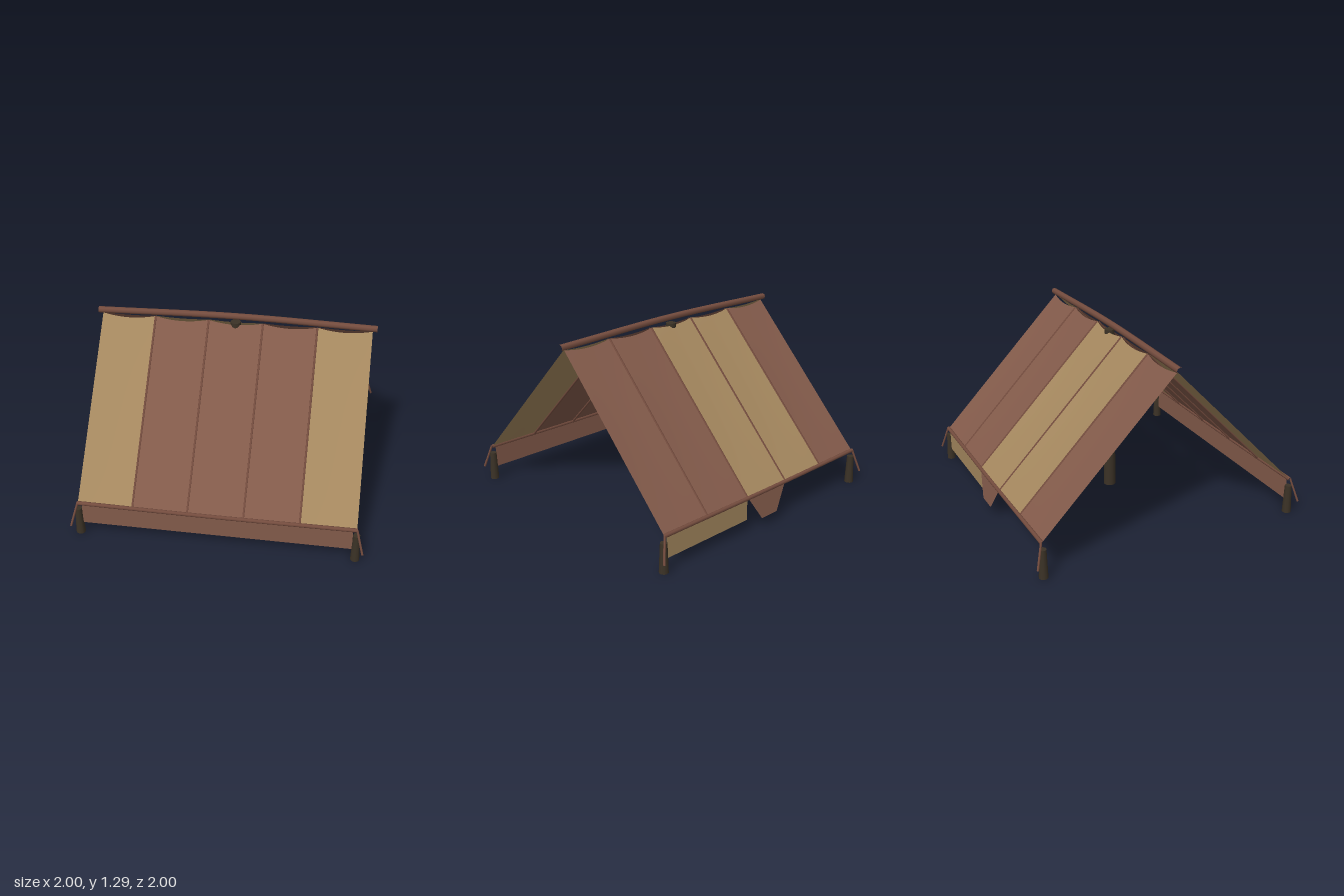
import * as THREE from 'three';

const V = (x, y, z) => new THREE.Vector3(x, y, z);

export function createModel() {
  const tent = new THREE.Group();
  tent.name = 'tent';

  const mat = (name, color, side = THREE.FrontSide) => {
    const m = new THREE.MeshStandardMaterial({ color, side });
    m.name = name;
    return m;
  };
  const brownCloth = mat('brown cloth', 0x825a4a, THREE.DoubleSide);
  const tanCloth = mat('tan cloth', 0xa4875e, THREE.DoubleSide);
  const darkWood = mat('dark wood', 0x3b3226);
  const redWood = mat('reddish wood', 0x744c3e);

  const add = (name, geometry, material, x = 0, y = 0, z = 0) => {
    const mesh = new THREE.Mesh(geometry, material);
    mesh.name = name;
    mesh.position.set(x, y, z);
    tent.add(mesh);
    return mesh;
  };

  // Open-ended pole through a few points
  const pole = (name, points, radius, segments, sides = 8) =>
    add(name, new THREE.TubeGeometry(new THREE.CatmullRomCurve3(points), segments, radius, sides), redWood);

  const ridgeY = 1.222, ridgeZ = 0.003, eaveY = 0.255, eaveZ = 0.94;
  const edges = [-0.945, -0.567, -0.19, 0.19, 0.567, 0.945];

  // Roof cloth: straight at the eave, scalloped where it is tied at the ridge
  const clothPanel = (x0, x1, side) => {
    const g = new THREE.PlaneGeometry(1, 1, 10, 10);
    const p = g.attributes.position;
    for (let i = 0; i < p.count; i++) {
      const u = p.getX(i) + 0.5, v = p.getY(i) + 0.5;
      const scallop = 0.017 * 4 * u * (1 - u) * v ** 4;
      const t = v - scallop;
      const sag = -0.004 * Math.sin(Math.PI * v) * Math.sin(Math.PI * u);
      const x = THREE.MathUtils.lerp(x0, x1, u);
      const y = THREE.MathUtils.lerp(eaveY, ridgeY, t) + sag;
      const z = THREE.MathUtils.lerp(eaveZ, ridgeZ, t) + sag;
      p.setXYZ(i, side > 0 ? x : x0 + x1 - x, y, side * z);
    }
    g.computeVertexNormals();
    return g;
  };

  const panelColours = {
    front: [tanCloth, brownCloth, brownCloth, brownCloth, tanCloth],
    back: [brownCloth, tanCloth, tanCloth, brownCloth, brownCloth],
  };

  for (const [label, side] of [['front', 1], ['back', -1]]) {
    panelColours[label].forEach((colour, i) =>
      add(`${label}RoofPanel${i + 1}`, clothPanel(edges[i], edges[i + 1], side), colour));

    // Battens along the seams
    edges.slice(1, -1).forEach((x, i) =>
      pole(`${label}Batten${i + 1}`, [
        V(x, ridgeY - 0.004, side * ridgeZ),
        V(x, eaveY - 0.003, side * (eaveZ - 0.003)),
      ], 0.009, 1, 6));

    // Eave pole, drooping slightly
    pole(`${label}EavePole`, [
      V(-0.95, 0.254, side * 0.942), V(0, 0.249, side * 0.942), V(0.95, 0.254, side * 0.942),
    ], 0.014, 12);

    // Corner posts and guy lines
    for (const s of [-1, 1]) {
      const corner = label + (s > 0 ? 'Left' : 'Right');
      add(`${corner}Post`, new THREE.CylinderGeometry(0.024, 0.032, 0.207, 10), darkWood,
        s * 0.945, 0.1035, side * 0.936);
      pole(`${corner}GuyLine`, [
        V(s * 0.945, 0.262, side * 0.945), V(s * 0.992, 0.09, side * 0.992),
      ], 0.008, 1, 6);
    }
  }

  // Arched ridge pole and centre pole
  pole('ridgePole', [V(-0.975, 1.243, 0), V(0, 1.264, 0), V(0.975, 1.243, 0)], 0.023, 16);
  add('centrePole', new THREE.CylinderGeometry(0.036, 0.044, 1.222, 12), darkWood, 0, 0.611, 0);

  // Cloth hanging below the eaves
  add('frontValance', new THREE.PlaneGeometry(1.84, 0.165), brownCloth, 0, 0.1675, 0.938);
  add('backValance', new THREE.PlaneGeometry(0.735, 0.155), tanCloth, 0.5575, 0.165, -0.938);

  // Tapered loose flap at the back, leaning outwards
  const flap = new THREE.Shape([[-0.187, 0], [-0.075, -0.18], [0.075, -0.18], [0.187, 0]]
    .map(([x, y]) => new THREE.Vector2(x, y)));
  add('backFlap', new THREE.ShapeGeometry(flap), brownCloth, 0, 0.25, -0.942).rotation.x = 0.17;

  return tent;
}
